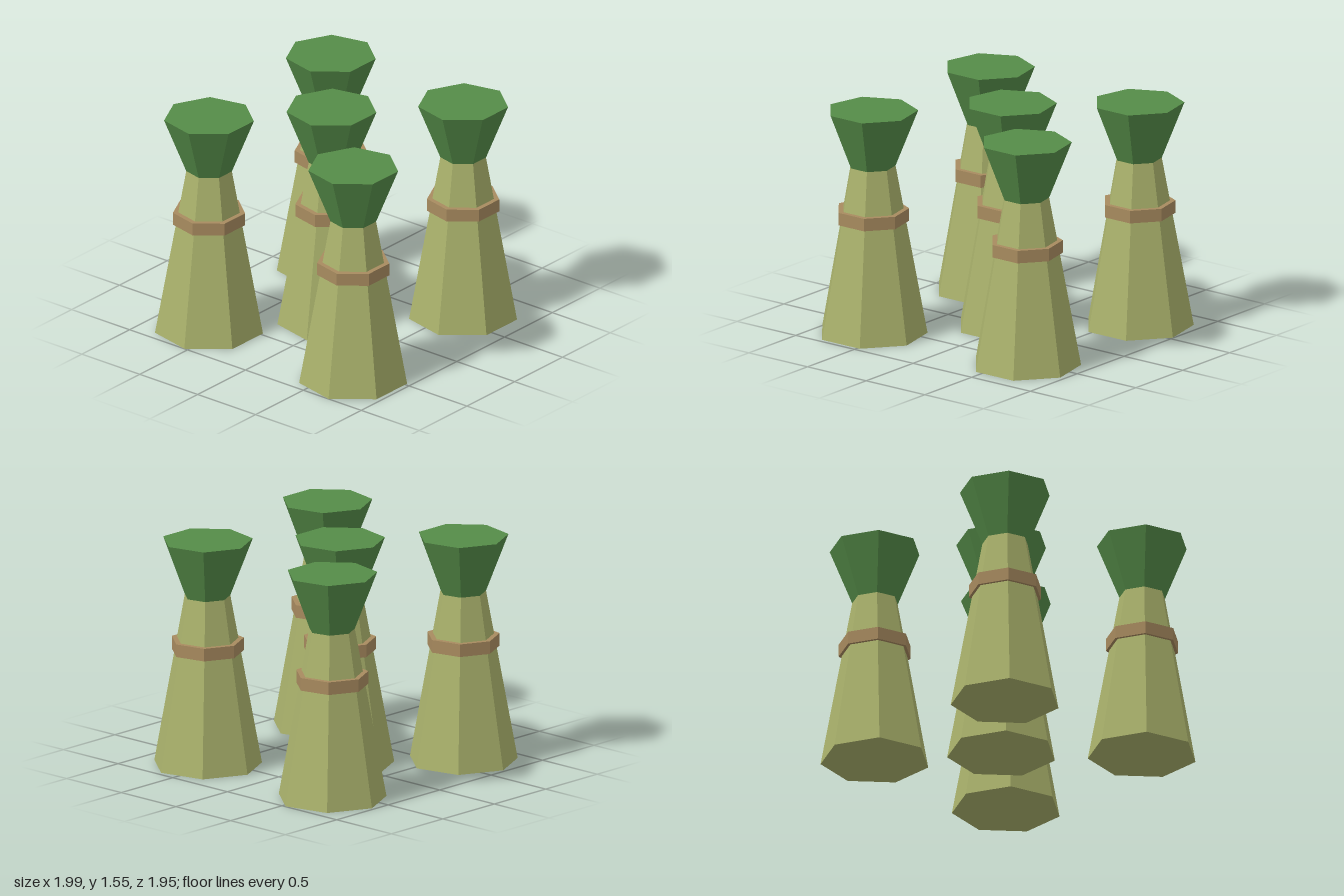
import * as THREE from 'three';

const SIDES = 7;
const STRAW = new THREE.MeshStandardMaterial({ color: 0xaab26c, flatShading: true });
const LEAF = new THREE.MeshStandardMaterial({ color: 0x558c48, flatShading: true });
const ROPE = new THREE.MeshStandardMaterial({ color: 0xa88b5f, flatShading: true });

// Seven-sided frustum between two heights, one corner pointing to the back
function frustum(name, rBottom, rTop, y0, y1, material) {
  const geometry = new THREE.CylinderGeometry(rTop, rBottom, y1 - y0, SIDES, 1, false, Math.PI);
  geometry.translate(0, (y0 + y1) / 2, 0);
  const mesh = new THREE.Mesh(geometry, material);
  mesh.name = name;
  return mesh;
}

// One tied sheaf: flared stalks, band and leafy head
function createSheaf(name, x, z) {
  const sheaf = new THREE.Group();
  sheaf.name = name;
  sheaf.add(
    frustum('stalks', 0.369, 0.156, 0, 1.167, STRAW),
    frustum('band', 0.247, 0.247, 0.782, 0.869, ROPE),
    frustum('leafyHead', 0.156, 0.307, 1.167, 1.553, LEAF)
  );
  sheaf.position.set(x, 0, z);
  return sheaf;
}

export function createModel() {
  const model = new THREE.Group();
  model.name = 'sheaves';
  const layout = [
    ['backRightSheaf', -0.64, -0.61],
    ['backLeftSheaf', 0.635, -0.61],
    ['middleSheaf', -0.018, -0.066],
    ['frontRightSheaf', -0.64, 0.635],
    ['frontLeftSheaf', 0.606, 0.556],
  ];
  for (const [name, x, z] of layout) model.add(createSheaf(name, x, z));
  return model;
}
